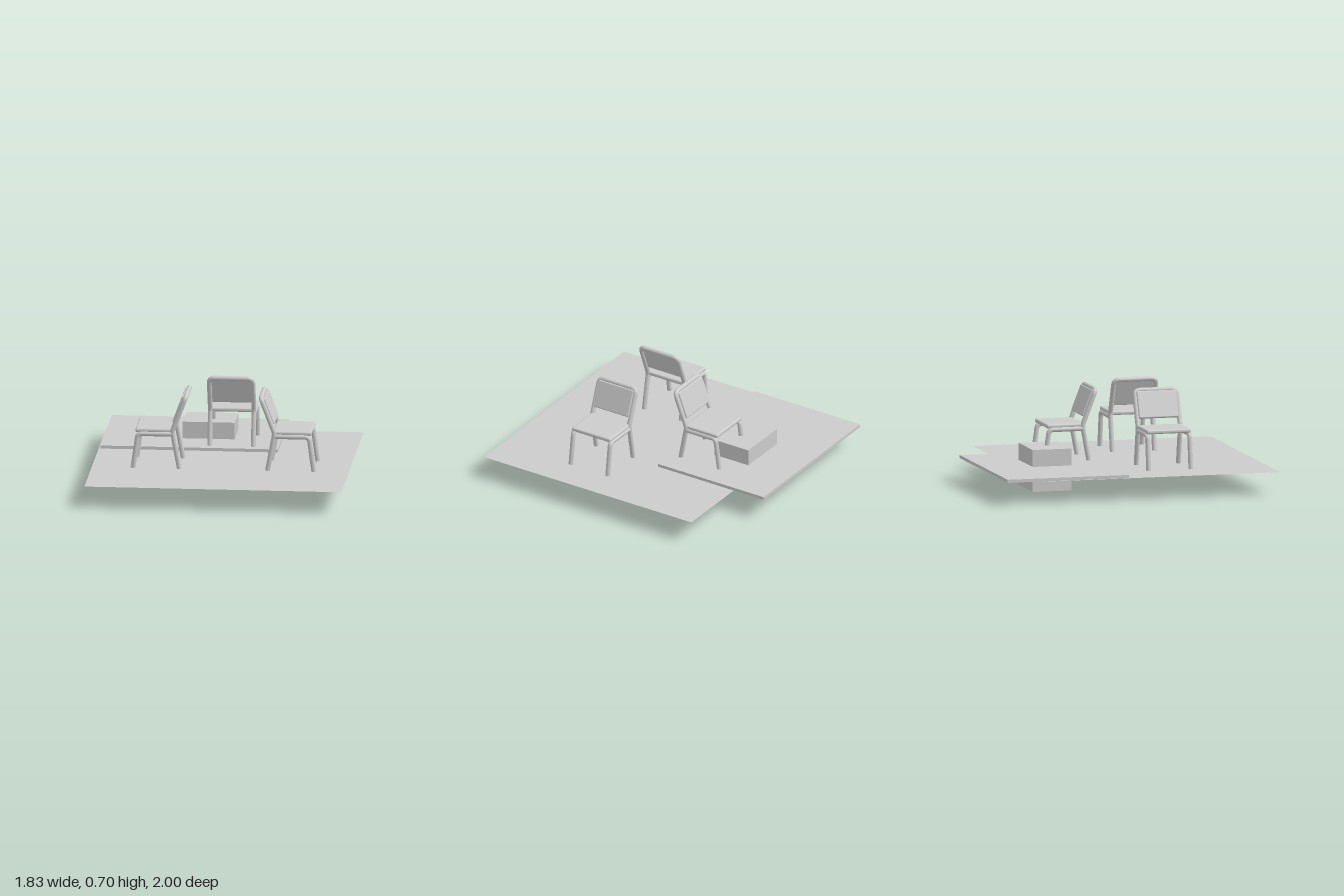
import * as THREE from 'three';
import { RoundedBoxGeometry } from 'three/addons/geometries/RoundedBoxGeometry.js';

const material = new THREE.MeshStandardMaterial({ color: 0xcccccc });
const sheetMaterial = new THREE.MeshStandardMaterial({ color: 0xcccccc, side: THREE.DoubleSide });

const FLOOR = 0.157; // height of the floor sheet
const TUBE = 0.0172; // radius of the chair tubing
const HALF = 0.155; // half spacing of the chair legs

function addMesh(parent, name, geometry, x = 0, y = 0, z = 0, mat = material) {
  const mesh = new THREE.Mesh(geometry, mat);
  mesh.name = name;
  mesh.position.set(x, y, z);
  parent.add(mesh);
  return mesh;
}

// Straight runs joined by rounded bends; each corner is [x, y, z, bend]
function bentPath(corners) {
  const path = new THREE.CurvePath();
  const pts = corners.map(([x, y, z]) => new THREE.Vector3(x, y, z));
  let from = pts[0];
  for (let i = 1; i < pts.length - 1; i++) {
    const toward = (p) => p.clone().sub(pts[i]).setLength(corners[i][3]).add(pts[i]);
    const a = toward(pts[i - 1]);
    const b = toward(pts[i + 1]);
    path.add(new THREE.LineCurve3(from, a));
    path.add(new THREE.QuadraticBezierCurve3(a, pts[i], b));
    from = b;
  }
  path.add(new THREE.LineCurve3(from, pts[pts.length - 1]));
  return path;
}

// Bent tube with flat end caps
function addTube(parent, name, corners, segments) {
  const path = bentPath(corners);
  const group = new THREE.Group();
  group.name = name;
  addMesh(group, name + 'Tube', new THREE.TubeGeometry(path, segments, TUBE, 16));
  for (const t of [0, 1]) {
    const p = path.getPointAt(t);
    const out = path.getTangentAt(t).multiplyScalar(t ? 1 : -1);
    const cap = addMesh(group, name + 'Cap', new THREE.CircleGeometry(TUBE, 16), p.x, p.y, p.z);
    cap.quaternion.setFromUnitVectors(new THREE.Vector3(0, 0, 1), out);
  }
  parent.add(group);
}

// Chair facing +z, with its origin under the bend of the rear uprights
function createChair(name) {
  const chair = new THREE.Group();
  chair.name = name;

  // Rear legs, uprights and top rail are one bent tube
  const foot = [FLOOR + 0.003, -0.05];
  const knee = [0.43, 0];
  const top = [0.683, -0.097];
  addTube(chair, 'backFrame', [
    [-HALF, ...foot],
    [-HALF, ...knee, 0.02],
    [-HALF, ...top, 0.04],
    [HALF, ...top, 0.04],
    [HALF, ...knee, 0.02],
    [HALF, ...foot],
  ], 160);

  // Seat rails turning down into the front legs
  for (const side of [1, -1]) {
    addTube(chair, side > 0 ? 'leftFrontLeg' : 'rightFrontLeg', [
      [side * HALF, 0.408, 0],
      [side * HALF, 0.408, 0.245, 0.03],
      [side * HALF, FLOOR + 0.003, 0.279],
    ], 50);
  }

  addMesh(chair, 'seat', new RoundedBoxGeometry(0.325, 0.03, 0.275, 3, 0.012), 0, 0.432, 0.125);

  // Backrest panel leaning with the uprights
  const back = addMesh(chair, 'backrest', new RoundedBoxGeometry(0.292, 0.198, 0.028, 3, 0.008), 0, 0.585, -0.047);
  back.rotation.x = Math.atan2(top[1] - knee[1], top[0] - knee[0]);
  return chair;
}

export function createModel() {
  const model = new THREE.Group();
  model.name = 'chairSetting';

  const floor = addMesh(model, 'floor', new THREE.PlaneGeometry(1.825, 1.75), 0, FLOOR, 0.125, sheetMaterial);
  floor.rotation.x = -Math.PI / 2;

  // Platform slab and the block standing through it
  addMesh(model, 'platform', new THREE.BoxGeometry(1.26, 0.022, 0.89), -0.27, FLOOR + 0.0112, -0.555);
  addMesh(model, 'block', new THREE.BoxGeometry(0.37, 0.3, 0.285), -0.155, 0.15, -0.517);

  // Three chairs: [name, x, z, turn]
  const chairs = [
    ['rearChair', 0.025, -0.235, Math.PI],
    ['rightChair', -0.34, 0.27, -Math.PI / 2],
    ['leftChair', 0.387, 0.27, Math.PI / 2],
  ];
  for (const [name, x, z, turn] of chairs) {
    const chair = createChair(name);
    chair.position.set(x, 0, z);
    chair.rotation.y = turn;
    model.add(chair);
  }
  return model;
}
